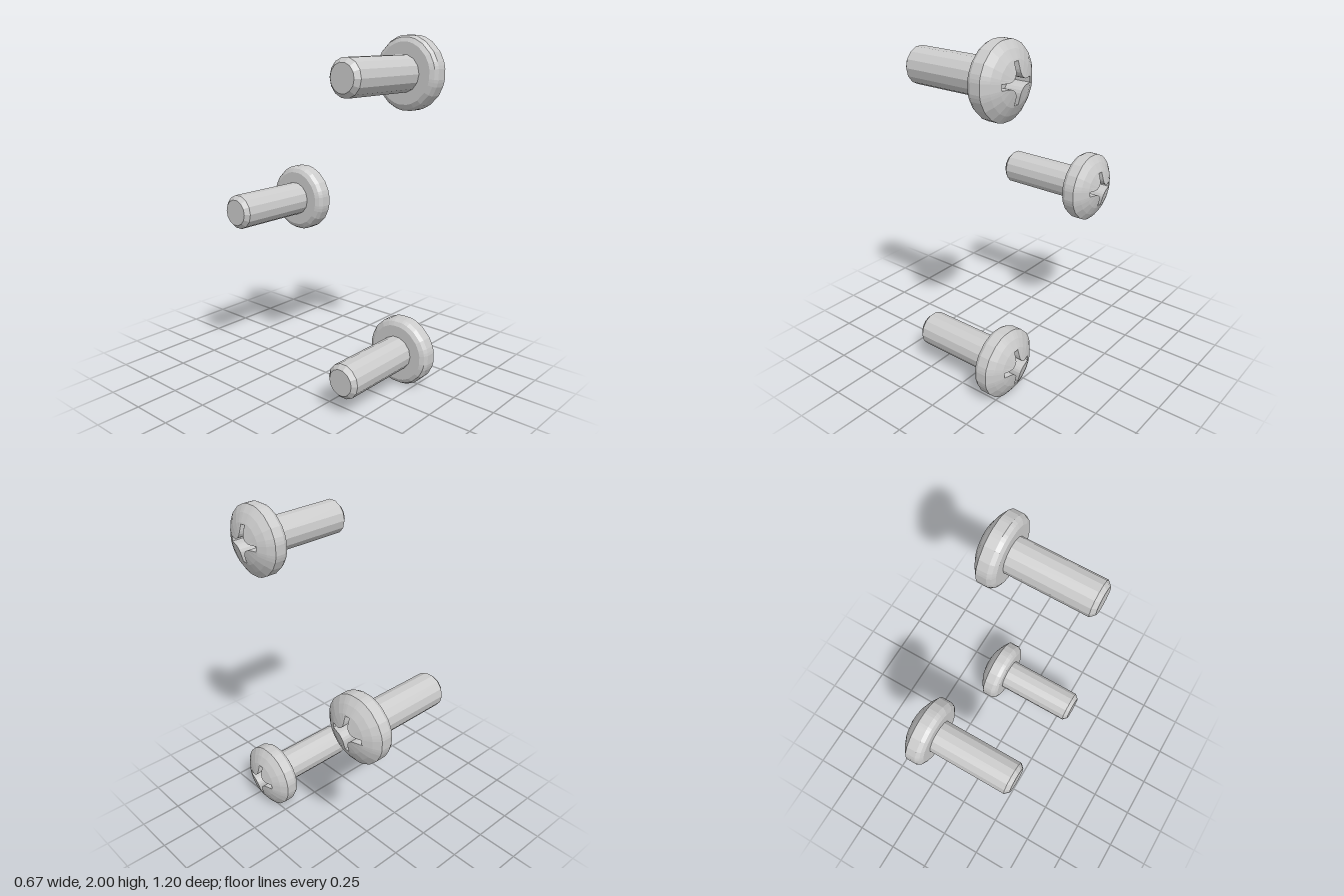
import * as THREE from 'three';

const material = new THREE.MeshStandardMaterial({ color: 0xcccccc, flatShading: true });

// Outline of the cross recess, counter-clockwise seen from the head
function crossOutline() {
  const half = 0.015, reach = 0.105, start = 0.065, fillet = start - half;
  const quarter = [[reach, half]];
  for (let i = 0; i <= 5; i++) {
    const a = Math.PI * (1.5 - i / 10);
    quarter.push([start + fillet * Math.cos(a), start + fillet * Math.sin(a)]);
  }
  quarter.push([half, reach]);
  const points = [];
  for (let q = 0; q < 4; q++) {
    for (const [u, v] of quarter) {
      points.push(new THREE.Vector2(u, v).rotateAround(new THREE.Vector2(), q * Math.PI / 2));
    }
  }
  return points;
}

// Height of the domed head at distance r from the axis
const domeX = r => 0.335 - 0.304 + Math.sqrt(0.304 * 0.304 - r * r);

// Head as rings: recess floor, recess wall, dome, rim, underside
function headGeometry() {
  const outline = crossOutline();
  const n = outline.length;
  const floorX = 0.23;
  const circle = (x, r) => outline.map(p => {
    const d = p.clone().setLength(r);
    return [x, d.x, d.y];
  });
  const rings = [
    outline.map(() => [floorX, 0, 0]),
    outline.map(p => [floorX, p.x, p.y]),
    outline.map(p => [domeX(p.length()), p.x, p.y]),
    ...[0.115, 0.16, 0.2].map(r => circle(domeX(r), r)),
    circle(0.2, 0.2),
    circle(0.178, 0.188),
    circle(0.165, 0.165),
    outline.map(() => [0.165, 0, 0]),
  ];
  const index = [];
  for (let i = 0; i < rings.length - 1; i++) {
    for (let k = 0; k < n; k++) {
      const a = i * n + k, b = i * n + (k + 1) % n;
      if (i < rings.length - 2) index.push(a, a + n, b + n);
      if (i > 0) index.push(a, b + n, b);
    }
  }
  const geometry = new THREE.BufferGeometry();
  geometry.setAttribute('position', new THREE.Float32BufferAttribute(rings.flat(2), 3));
  geometry.setIndex(index);
  const flat = geometry.toNonIndexed();
  flat.computeVertexNormals();
  return flat;
}

// Plain shank with a chamfered tip, turned to lie along x
function shankGeometry() {
  const profile = [[0, -0.335], [0.076, -0.335], [0.1, -0.31], [0.1, 0.17]]
    .map(([r, x]) => new THREE.Vector2(r, x));
  return new THREE.LatheGeometry(profile, 14).rotateZ(-Math.PI / 2);
}

export function createModel() {
  const model = new THREE.Group();
  model.name = 'screws';
  const headShape = headGeometry(), shankShape = shankGeometry();

  [[0.2, 0.4], [1.0, -0.4], [1.8, 0.4]].forEach(([y, z], i) => {
    const screw = new THREE.Group();
    screw.name = `screw${i + 1}`;
    const head = new THREE.Mesh(headShape, material);
    head.name = 'head';
    const shank = new THREE.Mesh(shankShape, material);
    shank.name = 'shank';
    screw.add(head, shank);
    screw.position.set(0, y, z);
    model.add(screw);
  });
  return model;
}
